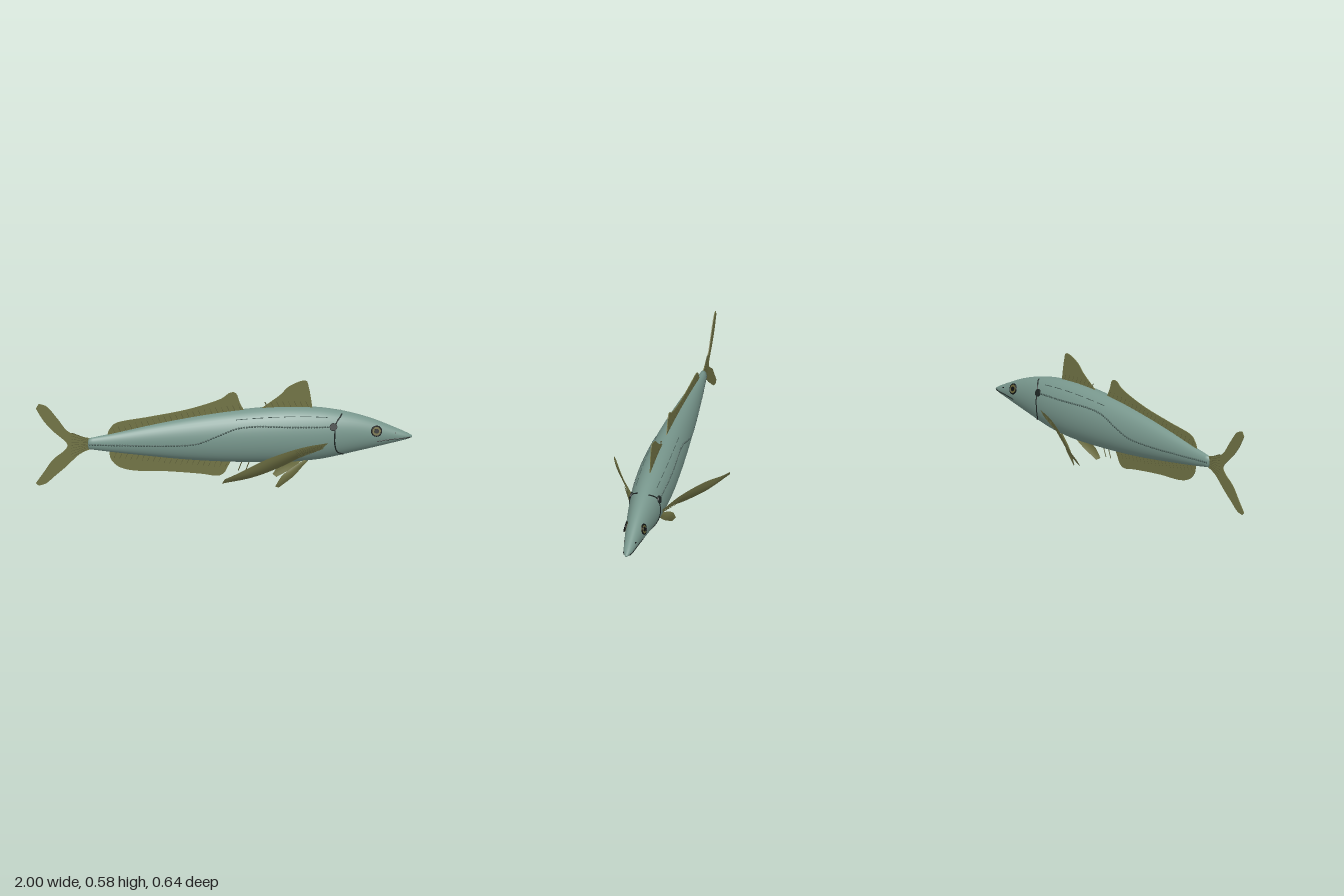
import * as THREE from 'three';
import { mergeGeometries } from 'three/addons/utils/BufferGeometryUtils.js';

const mat = (name, color, double) => {
  const m = new THREE.MeshStandardMaterial({ color });
  m.name = name;
  if (double) m.side = THREE.DoubleSide;
  return m;
};

// Body stations: x, top, bottom, half width
const stations = [
  [-0.72, 0.282, 0.222, 0.017], [-0.6, 0.305, 0.203, 0.031], [-0.4, 0.347, 0.175, 0.053],
  [-0.2, 0.383, 0.150, 0.072], [0, 0.411, 0.133, 0.087], [0.2, 0.428, 0.124, 0.097],
  [0.35, 0.431, 0.122, 0.099], [0.5, 0.421, 0.132, 0.092], [0.6, 0.405, 0.149, 0.082],
  [0.7, 0.380, 0.170, 0.068], [0.8, 0.345, 0.191, 0.052], [0.9, 0.300, 0.213, 0.035],
  [0.97, 0.266, 0.229, 0.021], [1.0, 0.249, 0.239, 0.006],
];

// Smooth (Hermite) lookup of the body section at x
function section(x) {
  const n = stations.length;
  let i = 0;
  while (i < n - 2 && x > stations[i + 1][0]) i++;
  const a = stations[i], b = stations[i + 1], d = b[0] - a[0];
  const t = THREE.MathUtils.clamp((x - a[0]) / d, 0, 1);
  const slope = (j, k) => {
    const p = stations[Math.max(j - 1, 0)], q = stations[Math.min(j + 1, n - 1)];
    return (q[k] - p[k]) / (q[0] - p[0]);
  };
  const [top, bottom, w] = [1, 2, 3].map((k) => {
    const t2 = t * t, t3 = t2 * t;
    return (2 * t3 - 3 * t2 + 1) * a[k] + (t3 - 2 * t2 + t) * d * slope(i, k)
      + (3 * t2 - 2 * t3) * b[k] + (t3 - t2) * d * slope(i + 1, k);
  });
  return { c: (top + bottom) / 2, h: (top - bottom) / 2, w, top, bottom };
}

// Point on the flank at (x, y); side is +1 or -1
function onSkin(x, y, side) {
  const s = section(x), v = THREE.MathUtils.clamp((y - s.c) / s.h, -1, 1);
  return new THREE.Vector3(x, s.c + v * s.h, side * s.w * Math.sqrt(1 - v * v));
}
function skinNormal(x, y, side) {
  const e = 0.005;
  const dx = onSkin(x + e, y, side).sub(onSkin(x - e, y, side));
  const dy = onSkin(x, y + e, side).sub(onSkin(x, y - e, side));
  return dx.cross(dy).normalize().multiplyScalar(side);
}

function bodyGeometry() {
  const rings = 80, seg = 40, pos = [], idx = [];
  for (let i = 0; i <= rings; i++) {
    const x = -0.72 + 1.72 * i / rings, s = section(x);
    for (let j = 0; j < seg; j++) {
      const a = j / seg * Math.PI * 2;
      pos.push(x, s.c + s.h * Math.cos(a), s.w * Math.sin(a));
    }
  }
  for (let i = 0; i < rings; i++) for (let j = 0; j < seg; j++) {
    const a = i * seg + j, b = i * seg + (j + 1) % seg;
    idx.push(a, b, a + seg, b, b + seg, a + seg);
  }
  // Close the tail and snout ends
  const tail = pos.length / 3;
  pos.push(-0.725, 0.252, 0, 1.0, 0.244, 0);
  for (let j = 0; j < seg; j++) {
    const k = (j + 1) % seg;
    idx.push(tail, k, j, tail + 1, rings * seg + j, rings * seg + k);
  }
  const g = new THREE.BufferGeometry();
  g.setAttribute('position', new THREE.Float32BufferAttribute(pos, 3));
  g.setIndex(idx);
  g.computeVertexNormals();
  return g;
}

// Sheet lofted between two edge curves, slightly bowed
function sheetGeometry(edgeA, edgeB, side, bow) {
  const curve = (e) => new THREE.CatmullRomCurve3(e.map(([x, y, z]) => new THREE.Vector3(x, y, z * side)));
  const A = curve(edgeA), B = curve(edgeB), n = 24, m = 6, pos = [], idx = [];
  for (let i = 0; i <= n; i++) for (let j = 0; j <= m; j++) {
    const p = A.getPoint(i / n).lerp(B.getPoint(i / n), j / m);
    p.z += side * bow * Math.sin(Math.PI * j / m) * Math.sin(Math.PI * i / n);
    pos.push(p.x, p.y, p.z);
    if (i < n && j < m) {
      const a = i * (m + 1) + j;
      idx.push(a, a + 1, a + m + 1, a + 1, a + m + 2, a + m + 1);
    }
  }
  const g = new THREE.BufferGeometry();
  g.setAttribute('position', new THREE.Float32BufferAttribute(pos, 3));
  g.setIndex(idx);
  g.computeVertexNormals();
  return g;
}

// Thin rod between two points
function rod(a, b, r) {
  return new THREE.TubeGeometry(new THREE.LineCurve3(a, b), 1, r, 4);
}

export function createModel() {
  const fish = new THREE.Group();
  fish.name = 'fish';
  const skin = mat('blue green skin', 0x78978d);
  const finMat = mat('olive fin', 0x717345, true);
  const rayMat = mat('dark olive ray', 0x585a36);
  const scuteMat = mat('dark lateral scale', 0x4a605a);
  const slate = mat('dark slate marking', 0x1d2523);
  const black = mat('black eye', 0x0e1110);
  const iris = mat('olive iris', 0x6b6739);
  const add = (name, geo, material) => {
    const mesh = new THREE.Mesh(geo, material);
    mesh.name = name;
    fish.add(mesh);
    return mesh;
  };

  add('body', bodyGeometry(), skin);

  // Upright fins: first point starts the outline, the rest follow the free edge
  const upright = {
    frontDorsalFin: [[0.19, 0.42], [0.24, 0.455], [0.3, 0.5], [0.35, 0.548], [0.43, 0.577], [0.452, 0.535], [0.47, 0.42]],
    rearDorsalFin: [[-0.62, 0.3], [-0.605, 0.335], [-0.56, 0.37], [-0.4, 0.395], [-0.2, 0.43], [-0.03, 0.48],
      [0.03, 0.518], [0.065, 0.513], [0.085, 0.46], [0.11, 0.41]],
    analFin: [[-0.61, 0.21], [-0.6, 0.16], [-0.555, 0.115], [-0.47, 0.092], [-0.32, 0.085], [-0.13, 0.065],
      [-0.04, 0.05], [0, 0.065], [0.02, 0.1], [0.04, 0.14]],
  };
  for (const [name, pts] of Object.entries(upright)) {
    const shape = new THREE.Shape();
    shape.moveTo(...pts[0]);
    shape.splineThru(pts.slice(1).map((p) => new THREE.Vector2(...p)));
    // Return along the inside of the body
    const end = pts[pts.length - 1][0], sign = name === 'analFin' ? -1 : 1;
    const base = (x) => (sign > 0 ? section(x).top : section(x).bottom);
    for (let i = 0; i <= 10; i++) {
      const x = THREE.MathUtils.lerp(end, pts[0][0], i / 10);
      shape.lineTo(x, base(x) - sign * 0.02);
    }
    const g = new THREE.ExtrudeGeometry(shape, { depth: 0.004, bevelEnabled: false, curveSegments: 30 });
    add(name, g.translate(0, 0, -0.002), finMat);
    // Short rays rising from the base
    const rays = [], count = Math.round((end - pts[0][0]) / 0.03);
    for (let i = 1; i < count; i++) {
      const x = THREE.MathUtils.lerp(pts[0][0], end, i / count);
      rays.push(rod(new THREE.Vector3(x + 0.01, base(x), 0), new THREE.Vector3(x - 0.004, base(x) + sign * 0.032, 0), 0.003));
    }
    add(name + 'Rays', mergeGeometries(rays), rayMat);
  }

  // Forked tail
  const tail = new THREE.Shape();
  const v2 = (list) => list.map((p) => new THREE.Vector2(...p));
  tail.moveTo(-0.71, 0.282);
  tail.splineThru(v2([[-0.76, 0.295], [-0.83, 0.325], [-0.885, 0.398], [-0.94, 0.467], [-0.985, 0.486]]));
  tail.lineTo(-1.0, 0.46);
  tail.splineThru(v2([[-0.96, 0.39], [-0.91, 0.33], [-0.85, 0.275], [-0.832, 0.245], [-0.85, 0.215],
    [-0.91, 0.165], [-0.955, 0.1], [-1.0, 0.035]]));
  tail.lineTo(-0.985, 0.022);
  tail.splineThru(v2([[-0.945, 0.034], [-0.895, 0.077], [-0.84, 0.125], [-0.77, 0.192], [-0.71, 0.222]]));
  add('tailFin', new THREE.ExtrudeGeometry(tail, { depth: 0.004, bevelEnabled: false, curveSegments: 24 })
    .translate(0, 0, -0.002), finMat);
  const tailRays = [];
  for (let i = -4; i <= 4; i++) {
    tailRays.push(rod(new THREE.Vector3(-0.72, 0.252 + i * 0.006, 0),
      new THREE.Vector3(-0.81, 0.247 + i * 0.017, 0), 0.003));
  }
  add('tailRays', mergeGeometries(tailRays), rayMat);

  // Two free spines ahead of the anal fin
  add('analSpines', mergeGeometries([0.1, 0.14].map((x) =>
    rod(new THREE.Vector3(x, 0.14, 0), new THREE.Vector3(x - 0.024, 0.076, 0), 0.0025))), rayMat);

  // Paired fins and flank markings
  for (const side of [1, -1]) {
    const label = side > 0 ? 'left' : 'right';
    const upper = [[0.56, 0.25, 0.08], [0.4, 0.25, 0.145], [0.2, 0.222, 0.235], [0.06, 0.178, 0.295], [-0.02, 0.152, 0.318]];
    const lower = [[0.52, 0.215, 0.08], [0.42, 0.188, 0.097], [0.28, 0.143, 0.15], [0.13, 0.123, 0.23], [-0.035, 0.126, 0.312]];
    add(label + 'PectoralFin', sheetGeometry(upper, lower, side, 0.012), finMat);
    // Fine rays spreading from the pectoral root
    const rays = [];
    for (let i = 0; i < 7; i++) {
      const t = (i + 0.5) / 7, mix = (k) => new THREE.Vector3(...upper[k]).lerp(new THREE.Vector3(...lower[k]), t);
      const a = mix(0), b = mix(1).lerp(mix(2), 0.2);
      b.z += 0.007;
      a.z *= side;
      b.z *= side;
      rays.push(rod(a, b, 0.0012));
    }
    add(label + 'PectoralRays', mergeGeometries(rays), rayMat);

    add(label + 'PelvicFin', sheetGeometry(
      [[0.42, 0.14, 0.04], [0.35, 0.103, 0.064], [0.3, 0.068, 0.083], [0.265, 0.014, 0.092]],
      [[0.445, 0.135, 0.036], [0.41, 0.1, 0.042], [0.37, 0.06, 0.056], [0.285, 0.002, 0.078]], side, 0.006), finMat);

    // Line drawn along the skin through (x, y) points
    const path = (pts, n) => new THREE.CatmullRomCurve3(pts.map(([x, y]) => new THREE.Vector3(x, y, 0)))
      .getSpacedPoints(n).map((p) => onSkin(p.x, p.y, side));
    const wire = (name, pts, r, material) => add(label + name,
      new THREE.TubeGeometry(new THREE.CatmullRomCurve3(path(pts, 24)), 48, r, 6), material);

    // Lateral line of small raised scales
    const lateral = [[-0.715, 0.252], [-0.5, 0.25], [-0.3, 0.25], [-0.15, 0.262], [-0.05, 0.3], [0.05, 0.34],
      [0.15, 0.353], [0.35, 0.347], [0.56, 0.338]];
    add(label + 'LateralScales', mergeGeometries(path(lateral, 90).map((p) =>
      new THREE.SphereGeometry(0.006, 6, 4).scale(1, 1, 0.7).translate(p.x, p.y, p.z))), scuteMat);

    // Dashed line high on the back
    for (let i = 0; i < 6; i++) {
      const x = 0.06 + i * 0.085;
      const y = (u) => section(u).c + section(u).h * 0.78;
      wire('BackDash', [[x, y(x)], [x + 0.03, y(x + 0.03)], [x + 0.06, y(x + 0.06)]], 0.0018, scuteMat);
    }

    wire('GillEdge', [[0.625, 0.392], [0.592, 0.355], [0.583, 0.3], [0.583, 0.24], [0.598, 0.19], [0.63, 0.168]], 0.0038, slate);
    wire('Mouth', [[0.81, 0.236], [0.87, 0.241], [0.93, 0.242], [0.988, 0.243]], 0.003, slate);

    // Flat details on the skin, turned mostly sideways: gill spot, eye and nostril
    const place = (name, geo, x, y, lift, material) => {
      const m = add(label + name, geo, material);
      const n = skinNormal(x, y, side);
      n.x *= 0.5;
      n.normalize();
      m.quaternion.setFromUnitVectors(new THREE.Vector3(0, 1, 0), n);
      m.position.copy(onSkin(x, y, side)).addScaledVector(n, lift);
    };
    const disc = (r) => new THREE.CylinderGeometry(r * 0.9, r, 0.008, 20);
    place('GillSpot', disc(0.021), 0.576, 0.337, 0.003, slate);
    place('EyeRim', new THREE.TorusGeometry(0.026, 0.004, 8, 28).rotateX(Math.PI / 2), 0.807, 0.296, 0.004, black);
    place('Iris', disc(0.026), 0.807, 0.296, 0.002, iris);
    place('Pupil', disc(0.014), 0.807, 0.296, 0.005, black);
    place('Nostril', disc(0.0035), 0.91, 0.275, 0, black);
  }
  return fish;
}
